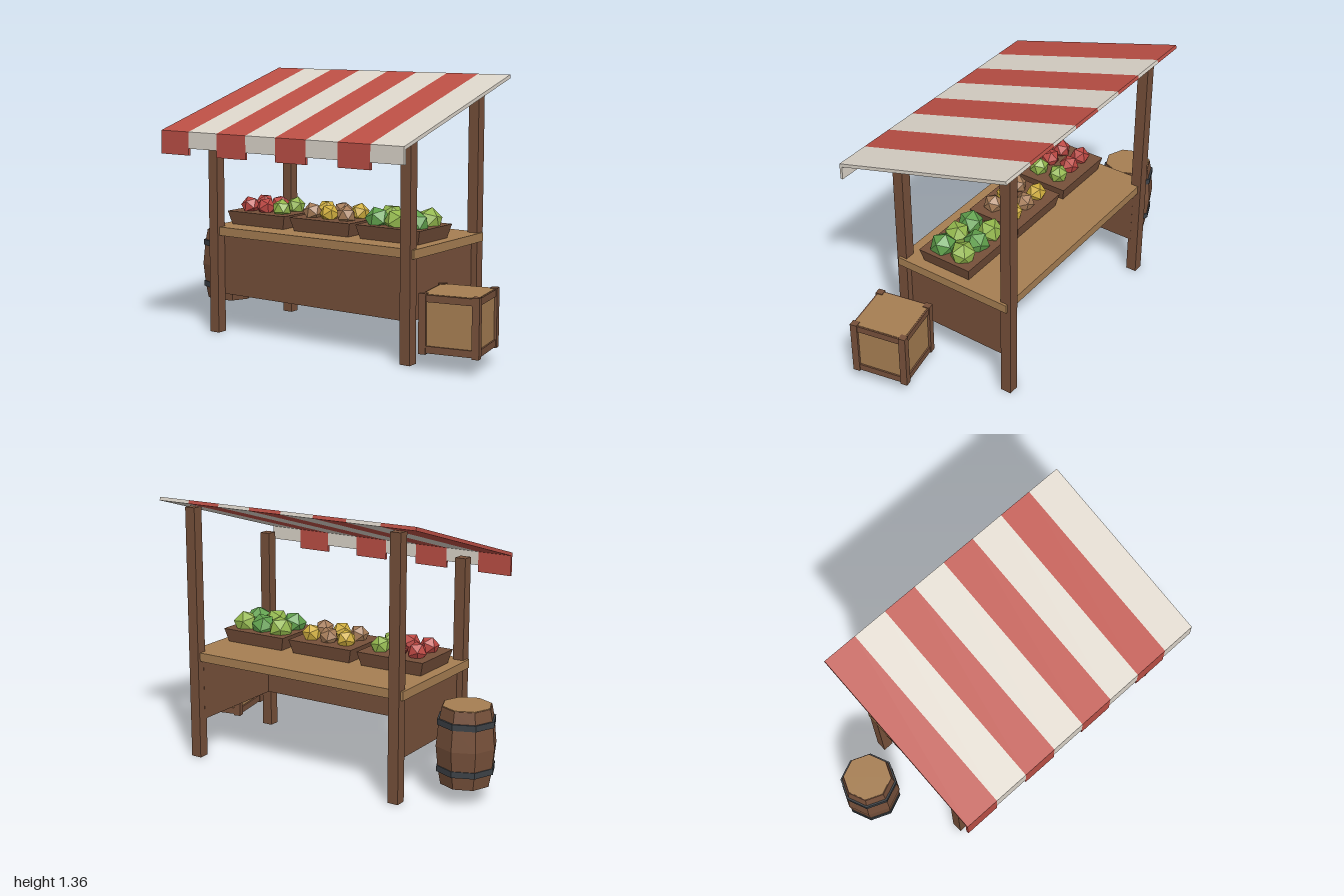
import * as THREE from 'three';

const mat = (name, color) => {
  const m = new THREE.MeshStandardMaterial({ color, flatShading: true });
  m.name = name;
  return m;
};

export function createModel() {
  const brown = mat('brown wood', 0x76503a);
  const tan = mat('light wood', 0xa67e52);
  const red = mat('red cloth', 0xbb4f45);
  const cream = mat('cream cloth', 0xdcd5ca);
  const iron = mat('dark iron', 0x3c4146);
  const apple = mat('apple red', 0xbb4742);
  const lime = mat('light green', 0x92b64c);
  const green = mat('leaf green', 0x60a04c);
  const yellow = mat('yellow', 0xd0ae3e);
  const potato = mat('potato brown', 0xa67c58);

  const model = new THREE.Group();
  model.name = 'marketStall';

  const add = (parent, name, geometry, material, x = 0, y = 0, z = 0) => {
    const mesh = new THREE.Mesh(geometry, material);
    mesh.name = name;
    mesh.position.set(x, y, z);
    parent.add(mesh);
    return mesh;
  };
  const box = (parent, name, material, w, h, d, x, y, z) =>
    add(parent, name, new THREE.BoxGeometry(w, h, d), material, x, y, z);
  const group = (name, x = 0, y = 0, z = 0) => {
    const g = new THREE.Group();
    g.name = name;
    g.position.set(x, y, z);
    model.add(g);
    return g;
  };

  // Counter: top and three skirt panels, open at the back
  const counter = group('counter');
  box(counter, 'counterTop', tan, 1.27, 0.045, 0.65, 0, 0.5375, -0.085);
  box(counter, 'frontPanel', brown, 1.18, 0.315, 0.025, 0, 0.3575, 0.188);
  for (const s of [-1, 1]) {
    box(counter, 'sidePanel', brown, 0.025, 0.315, 0.56, s * 0.5775, 0.3575, -0.104);
    // Posts, taller at the back
    box(model, 'frontPost', brown, 0.057, 1.08, 0.057, s * 0.594, 0.54, 0.227);
    box(model, 'backPost', brown, 0.057, 1.31, 0.057, s * 0.594, 0.655, -0.398);
  }

  // Striped awning: sloping sheet with a hanging front flap, red flaps longer
  const awning = group('awning');
  const stripe = 1.47 / 8;
  for (let i = 0; i < 8; i++) {
    const drop = i % 2 ? 0.99 : 0.955;
    const profile = new THREE.Shape([
      [-0.487, drop], [-0.473, drop], [-0.473, 1.06],
      [0.487, 1.341], [0.482, 1.358], [-0.487, 1.074],
    ].map(([a, b]) => new THREE.Vector2(a, b)));
    const geo = new THREE.ExtrudeGeometry(profile, { depth: stripe, bevelEnabled: false });
    geo.rotateY(Math.PI / 2);
    add(awning, 'awningStripe', geo, i % 2 ? cream : red, -0.735 + i * stripe);
  }

  // Produce trays with two rows of three
  const trays = [
    { x: -0.41, name: 'apple', r: 0.052, y: 0.655, step: 0.104, colors: [apple, apple, lime, apple, apple, lime] },
    { x: 0, name: 'potato', r: 0.052, y: 0.655, step: 0.104, colors: [potato, yellow, potato, yellow, potato, yellow] },
    { x: 0.41, name: 'cabbage', r: 0.067, y: 0.652, step: 0.112, colors: [green, lime, green, lime, green, lime] },
  ];
  for (const t of trays) {
    const g = group(t.name + 'Tray', t.x, 0, -0.015);
    const tray = new THREE.CylinderGeometry(Math.SQRT1_2, Math.SQRT1_2 * 0.9, 0.07, 4);
    tray.rotateY(Math.PI / 4);
    tray.scale(0.375, 1, 0.3);
    add(g, 'tray', tray, brown, 0, 0.596, 0);
    t.colors.forEach((m, i) => {
      const col = i % 3 - 1, row = Math.floor(i / 3);
      const item = add(g, t.name, new THREE.IcosahedronGeometry(t.r), m,
        col * t.step, t.y, row ? -0.06 : 0.06);
      item.rotation.set(0.1 * i, 0.9 * i, 0.15 * col);
    });
  }

  // Barrel: eight-sided bulging body, two hoops and a lid
  const barrel = group('barrel', -0.85, 0, -0.18);
  const ring = (pts) => new THREE.LatheGeometry(pts.map(([r, y]) => new THREE.Vector2(r, y)), 8);
  add(barrel, 'barrelBody', ring([[0, 0.088], [0.124, 0.088], [0.138, 0.165], [0.15, 0.28],
    [0.138, 0.4], [0.124, 0.472], [0, 0.472]]), brown);
  add(barrel, 'barrelLid', new THREE.CylinderGeometry(0.12, 0.12, 0.006, 8), tan, 0, 0.472, 0);
  for (const y of [0.168, 0.4]) {
    add(barrel, 'barrelHoop', ring([[0.13, y - 0.015], [0.145, y - 0.015],
      [0.145, y + 0.015], [0.13, y + 0.015]]), iron);
  }

  // Crate: light boards inside a dark frame
  const crate = group('crate', 0.825, 0.23, 0.14);
  crate.rotation.y = 0.2;
  box(crate, 'crateBoards', tan, 0.272, 0.282, 0.272, 0, 0, 0);
  for (let i = 0; i < 4; i++) {
    const side = new THREE.Group();
    side.name = 'crateSide';
    side.rotation.y = i * Math.PI / 2;
    crate.add(side);
    box(side, 'crateCornerPost', brown, 0.036, 0.29, 0.036, 0.131, 0, 0.131);
    for (const s of [-1, 1]) {
      box(side, 'crateRail', brown, 0.23, 0.034, 0.02, 0, s * 0.122, 0.134);
    }
  }

  return model;
}
